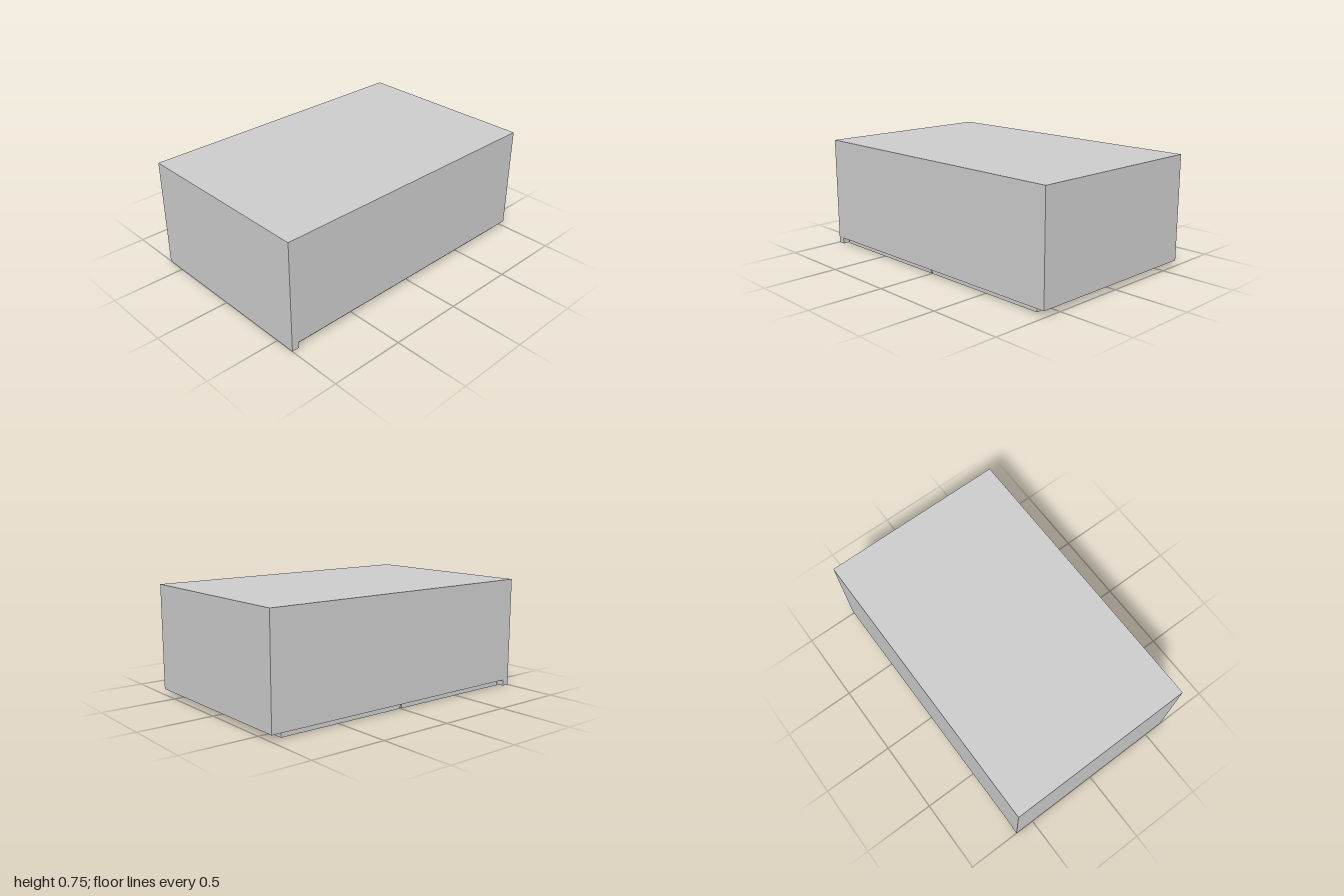
import * as THREE from 'three';

const WIDTH = 1.27, HEIGHT = 0.746, BASE = 0.04;

export function createModel() {
  const model = new THREE.Group();
  model.name = 'box';
  const material = new THREE.MeshStandardMaterial({ color: 0xcccccc, flatShading: true });

  // Body: side profile (z, y) with a lip reaching the floor along the front
  const profile = new THREE.Shape([
    [-1, BASE], [0.95, BASE], [0.95, 0], [1, 0], [1, HEIGHT], [-1, HEIGHT],
  ].map(([z, y]) => new THREE.Vector2(z, y)));
  const bodyGeometry = new THREE.ExtrudeGeometry(profile, { depth: WIDTH, bevelEnabled: false });
  bodyGeometry.rotateY(-Math.PI / 2).translate(WIDTH / 2, 0, 0);
  const body = new THREE.Mesh(bodyGeometry, material);
  body.name = 'body';
  model.add(body);

  // Four base pads, split by a wide lengthwise gap and a narrow crosswise one
  const innerX = 0.015, outerX = 0.6;
  const rows = [['front', 0.008, 0.928], ['back', -0.915, -0.002]];
  for (const [row, z0, z1] of rows) {
    for (const side of [-1, 1]) {
      const pad = new THREE.Mesh(new THREE.BoxGeometry(outerX - innerX, BASE, z1 - z0), material);
      pad.position.set(side * (innerX + outerX) / 2, BASE / 2, (z0 + z1) / 2);
      pad.name = `${row}${side > 0 ? 'Left' : 'Right'}BasePad`;
      model.add(pad);
    }
  }
  return model;
}
